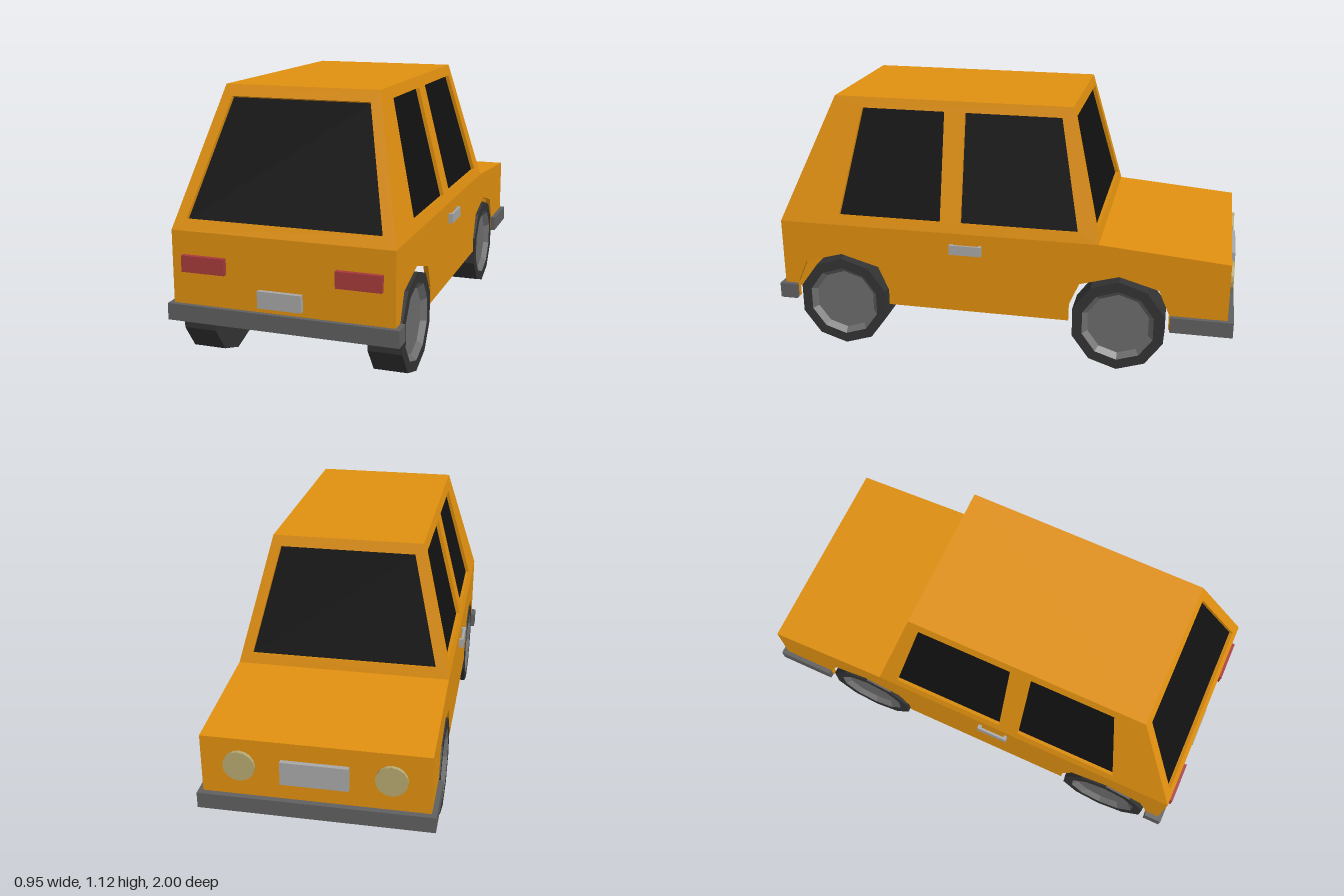
import * as THREE from 'three';

const mat = (color) => new THREE.MeshStandardMaterial({ color, flatShading: true, side: THREE.DoubleSide });
const V = (x, y, z) => new THREE.Vector3(x, y, z);

export function createModel() {
  const car = new THREE.Group();
  car.name = 'car';
  const paint = mat(0xe0900f), glass = mat(0x111111), bumperGrey = mat(0x606060), tyreBlack = mat(0x333333);
  const rimGrey = mat(0x6c6c6c), chrome = mat(0xa8a8a8), red = mat(0xa83a3c), lamp = mat(0xb5a870);

  const add = (name, geometry, material, parent = car) => {
    const mesh = new THREE.Mesh(geometry, material);
    mesh.name = name;
    parent.add(mesh);
    return mesh;
  };
  // box given by its limits on each axis
  const box = (name, material, [x0, x1], [y0, y1], [z0, z1], parent) => {
    const mesh = add(name, new THREE.BoxGeometry(Math.abs(x1 - x0), y1 - y0, z1 - z0), material, parent);
    mesh.position.set((x0 + x1) / 2, (y0 + y1) / 2, (z0 + z1) / 2);
    return mesh;
  };
  // flat plate through 3D points, thickened inward, sunk by an inset
  const plate = (name, material, outline, holes, outward, thick, inset = 0) => {
    const n = V(0, 0, 0), o = outline[0];
    for (let i = 1; i < outline.length - 1; i++) {
      n.add(outline[i].clone().sub(o).cross(outline[i + 1].clone().sub(o)));
    }
    n.normalize();
    if (n.dot(outward) < 0) n.negate();
    const u = outline[1].clone().sub(o).normalize();
    const v = n.clone().cross(u);
    const flat = (pts) => pts.map((p) => {
      const d = p.clone().sub(o);
      return new THREE.Vector2(d.dot(u), d.dot(v));
    });
    const shape = new THREE.Shape(flat(outline));
    for (const h of holes) shape.holes.push(new THREE.Path(flat(h)));
    const geometry = new THREE.ExtrudeGeometry(shape, { depth: thick, bevelEnabled: false });
    geometry.applyMatrix4(new THREE.Matrix4().makeBasis(u, v, n)
      .setPosition(o.clone().addScaledVector(n, -thick - inset)));
    add(name, geometry, material);
  };
  // plate with a recessed pane in each opening
  const glazed = (name, outline, openings, outward) => {
    plate(name, paint, outline, openings, outward, 0.025);
    for (const h of openings) plate(name + 'Window', glass, h, [], outward, 0.006, 0.016);
  };

  const W = 0.455, R = 0.318, belt = 0.57, top = 1.115, base = 0.21, rear = 0.98, nose = -0.975;
  const sideX = (y) => W + (R - W) * Math.max(0, (y - belt) / (top - belt));

  // body sides: wheel-arch panel below, two windows above
  const arch = (c) => [[-0.213, base], [-0.213, 0.28], [-0.168, 0.385], [0, 0.433], [0.168, 0.385], [0.213, 0.28], [0.213, base]]
    .map(([z, y]) => [z + c, y]);
  const axles = [-0.52, 0.707];
  const lower = [[nose, base], ...arch(axles[0]), ...arch(axles[1]), [rear, base], [rear, belt], [-0.43, belt], [nose, 0.525]];
  const upper = [[-0.43, belt], [rear, belt], [0.745, top], [-0.295, top]];
  const sideWindows = [
    [[0.255, 0.615], [0.71, 0.615], [0.62, 1.07], [0.255, 1.07]],
    [[-0.34, 0.615], [0.165, 0.615], [0.165, 1.07], [-0.25, 1.07]],
  ];
  for (const s of [1, -1]) {
    const place = (pts) => pts.map(([z, y]) => V(s * sideX(y), y, z));
    plate('lowerSide', paint, place(lower), [], V(s, 0, 0), 0.02);
    glazed('cabinSide', place(upper), sideWindows.map(place), V(s, 0, 0));
  }

  // cross panels between the sides
  const span = (w0, y0, z0, w1, y1, z1) => [V(-w0, y0, z0), V(w0, y0, z0), V(w1, y1, z1), V(-w1, y1, z1)];
  const slope = (zLow, zHigh, y) => zLow + (zHigh - zLow) * (y - belt) / (top - belt);
  const screen = (name, zLow, zHigh, dir) => glazed(name, span(W, belt, zLow, R, top, zHigh),
    [span(0.397, 0.615, slope(zLow, zHigh, 0.615), 0.285, 1.07, slope(zLow, zHigh, 1.07))], V(0, 0, dir));
  screen('rearScreen', rear, 0.745, 1);
  screen('windscreen', -0.43, -0.295, -1);
  plate('roof', paint, span(R, top, 0.745, R, top, -0.295), [], V(0, 1, 0), 0.025);
  plate('hood', paint, span(W, belt, -0.43, W, 0.525, nose), [], V(0, 1, 0), 0.02);
  plate('nosePanel', paint, span(W, base, nose, W, 0.525, nose), [], V(0, 0, -1), 0.02);
  plate('tailPanel', paint, span(W, base, rear, W, belt, rear), [], V(0, 0, 1), 0.02);

  // U-shaped bumpers
  const bumper = (name, bar, arm) => {
    const group = new THREE.Group();
    group.name = name;
    car.add(group);
    box('bumperBar', bumperGrey, [-0.475, 0.475], [0.207, 0.275], bar, group);
    for (const s of [1, -1]) box('bumperArm', bumperGrey, [s * W, s * 0.475], [0.207, 0.275], arm, group);
  };
  bumper('frontBumper', [-1, nose], [nose, -0.738]);
  bumper('rearBumper', [rear, 1], [0.922, rear]);

  // plates, lights and door handles
  box('rearPlate', chrome, [-0.09, 0.09], [0.297, 0.365], [rear, 1]);
  box('frontPlate', chrome, [-0.135, 0.135], [0.35, 0.45], [-0.995, nose]);
  for (const s of [1, -1]) {
    box('tailLight', red, [s * 0.226, s * 0.408], [0.41, 0.476], [rear, 1]);
    const light = add('headlight', new THREE.CylinderGeometry(0.064, 0.064, 0.015, 16), lamp);
    light.rotation.x = Math.PI / 2;
    light.position.set(s * 0.3, 0.41, nose - 0.0075);
    box('doorHandle', chrome, [s * 0.465, s * 0.475], [0.48, 0.523], [0.07, 0.21]);
    for (const z of [0.07, 0.195]) box('handlePost', chrome, [s * W, s * 0.465], [0.48, 0.523], [z, z + 0.015]);
  }

  // ten-sided wheels with dished rims
  const lathe = (pts) => new THREE.LatheGeometry(pts.map(([r, y]) => new THREE.Vector2(r, y)), 10, Math.PI / 2);
  const tyre = lathe([[0, 0], [0.205, 0], [0.205, 0.138], [0.16, 0.138]]);
  const rim = lathe([[0.16, 0.138], [0.137, 0.115], [0, 0.115]]);
  for (const z of axles) {
    for (const s of [1, -1]) {
      const wheel = new THREE.Group();
      wheel.name = z < 0 ? 'frontWheel' : 'rearWheel';
      add('tyre', tyre, tyreBlack, wheel);
      add('rim', rim, rimGrey, wheel);
      wheel.rotation.z = -s * Math.PI / 2;
      wheel.position.set(s * 0.32, 0.205, z);
      car.add(wheel);
    }
  }
  return car;
}
